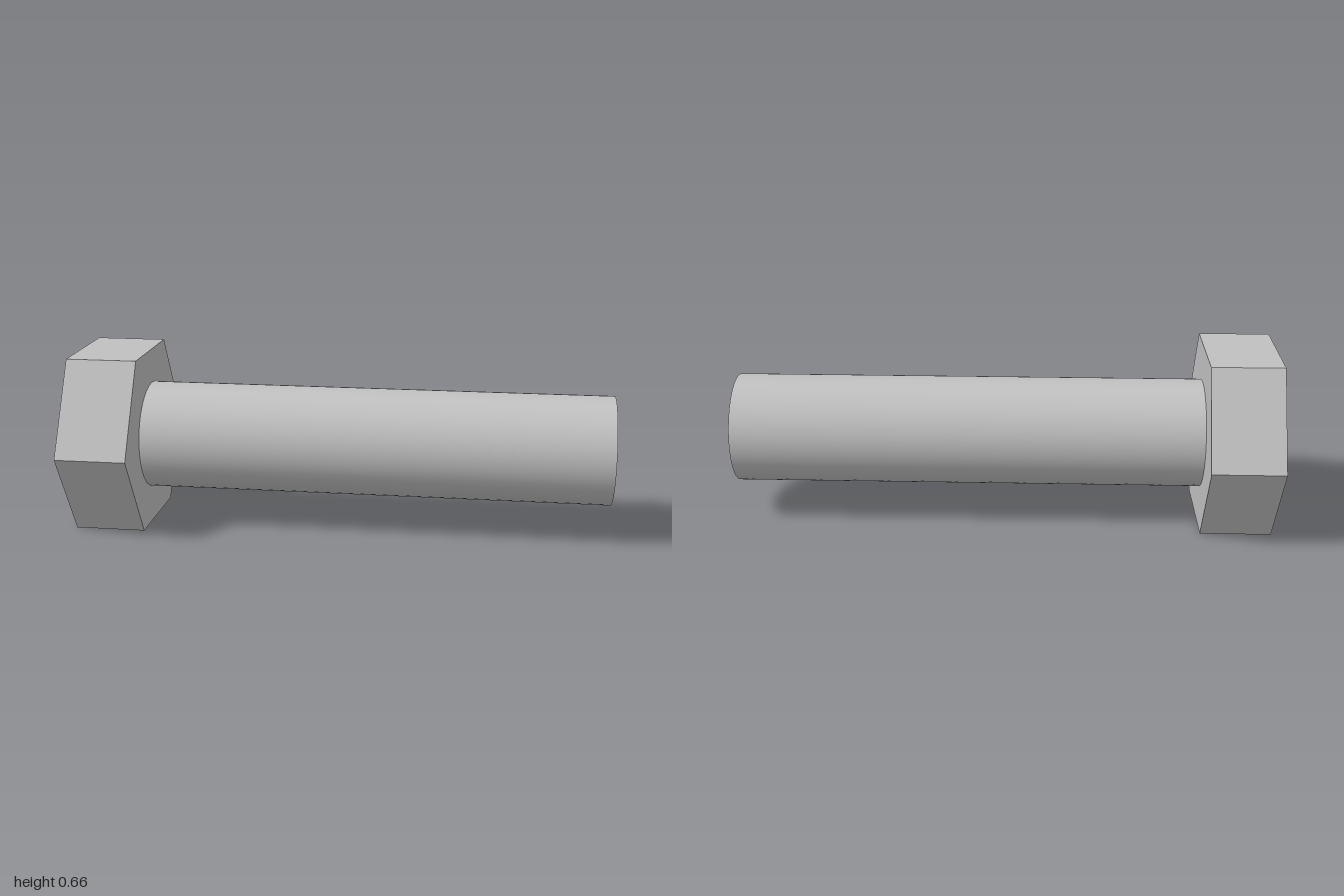
import * as THREE from 'three';

const HEAD_RADIUS = 0.38;
const CENTER_Y = HEAD_RADIUS * Math.cos(Math.PI / 6); // head rests on a flat
const HEAD_END = -0.737;

// Cylinder lying along x between two ends
function rod(name, radius, x0, x1, sides, material) {
  const geometry = new THREE.CylinderGeometry(radius, radius, x1 - x0, sides);
  geometry.rotateZ(-Math.PI / 2);
  const mesh = new THREE.Mesh(geometry, material);
  mesh.name = name;
  mesh.position.set((x0 + x1) / 2, CENTER_Y, 0);
  return mesh;
}

export function createModel() {
  const steel = new THREE.MeshStandardMaterial({ color: 0xc0c0c0 });
  steel.name = 'steel';
  // Same steel, faceted for the hexagonal head
  const facetedSteel = steel.clone();
  facetedSteel.name = 'faceted steel';
  facetedSteel.flatShading = true;

  const bolt = new THREE.Group();
  bolt.name = 'bolt';
  bolt.add(
    rod('hexHead', HEAD_RADIUS, -1, HEAD_END, 6, facetedSteel),
    rod('shank', 0.202, HEAD_END, 1, 48, steel)
  );
  return bolt;
}
